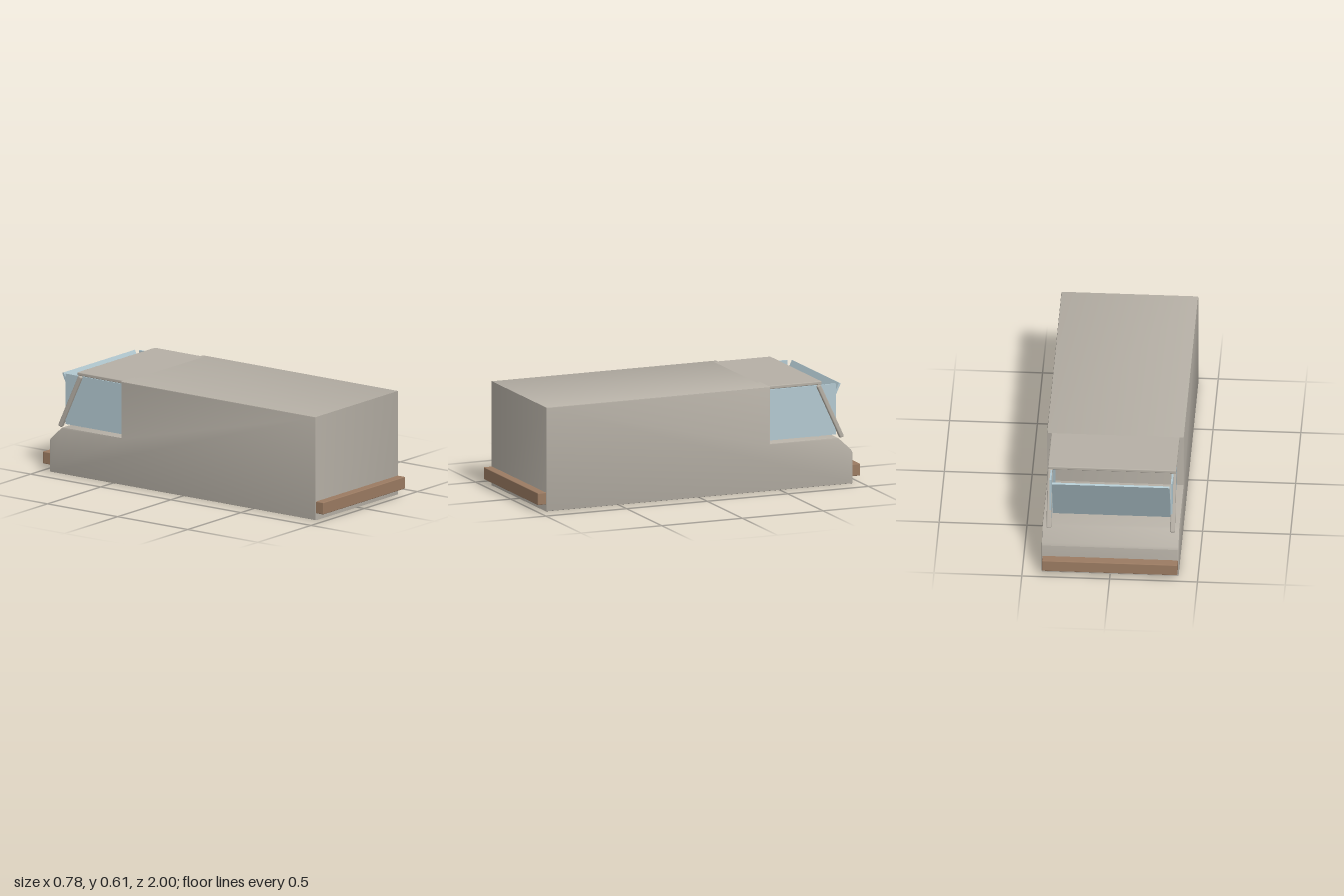
import * as THREE from 'three';
import { RoundedBoxGeometry } from 'three/addons/geometries/RoundedBoxGeometry.js';
import { toCreasedNormals } from 'three/addons/utils/BufferGeometryUtils.js';

const paint = new THREE.MeshStandardMaterial({ color: 0xb5afa5 });
const glass = new THREE.MeshStandardMaterial({ color: 0xb2c8d0 });
const wood = new THREE.MeshStandardMaterial({ color: 0x9b7b62 });
const dark = new THREE.MeshStandardMaterial({ color: 0x555555 });

export function createModel() {
  const model = new THREE.Group();
  model.name = 'van';

  const add = (name, geometry, material, x, y, z, tilt = 0) => {
    const mesh = new THREE.Mesh(geometry, material);
    mesh.name = name;
    mesh.position.set(x, y, z);
    mesh.rotation.x = tilt;
    model.add(mesh);
    return mesh;
  };
  const rounded = (w, h, d, r) => new RoundedBoxGeometry(w, h, d, 2, r);

  // Body: side profile (z, y) swept across the width with a small bevel
  const bevel = 0.006, halfWidth = 0.39;
  const profile = new THREE.Shape([
    [-0.95, 0], [0.95, 0], [0.95, 0.605], [-0.44, 0.605], [-0.44, 0.275],
    [-0.85, 0.275], [-0.866, 0.268], [-0.942, 0.197], [-0.95, 0.182],
  ].map(([z, y]) => new THREE.Vector2(z, y)));
  const body = new THREE.ExtrudeGeometry(profile, {
    depth: 2 * (halfWidth - bevel), bevelEnabled: true, bevelSize: bevel,
    bevelThickness: bevel, bevelOffset: -bevel, bevelSegments: 2,
  });
  body.translate(0, 0, -(halfWidth - bevel)).rotateY(-Math.PI / 2);
  add('body', toCreasedNormals(body, 0.6), paint, 0, 0, 0);

  // Cab roof, slightly narrower than the body
  add('cabRoof', rounded(0.73, 0.02, 0.36, 0.005), paint, 0, 0.595, -0.59);

  // Windscreen leaning outwards at the top
  const lean = Math.atan2(0.14, 0.3);
  add('windscreen', new THREE.BoxGeometry(0.67, 0.33, 0.012), glass, 0, 0.428, -0.825, -lean);

  // Side windows and raked pillars
  for (const side of [1, -1]) {
    const label = side > 0 ? 'left' : 'right';
    add(label + 'Window', new THREE.BoxGeometry(0.01, 0.295, 0.41), glass, side * 0.345, 0.432, -0.66);
    add(label + 'Pillar', rounded(0.028, 0.345, 0.026, 0.007), paint, side * 0.352, 0.425, -0.825, lean);
  }

  // Low plate on the cab floor
  add('floorPlate', new THREE.BoxGeometry(0.3, 0.014, 0.125), dark, 0, 0.281, -0.625);

  // Bumpers at both ends
  for (const end of [1, -1]) {
    add(end > 0 ? 'frontBumper' : 'rearBumper', rounded(0.77, 0.07, 0.06, 0.004), wood, 0, 0.075, end * 0.97);
  }
  return model;
}
